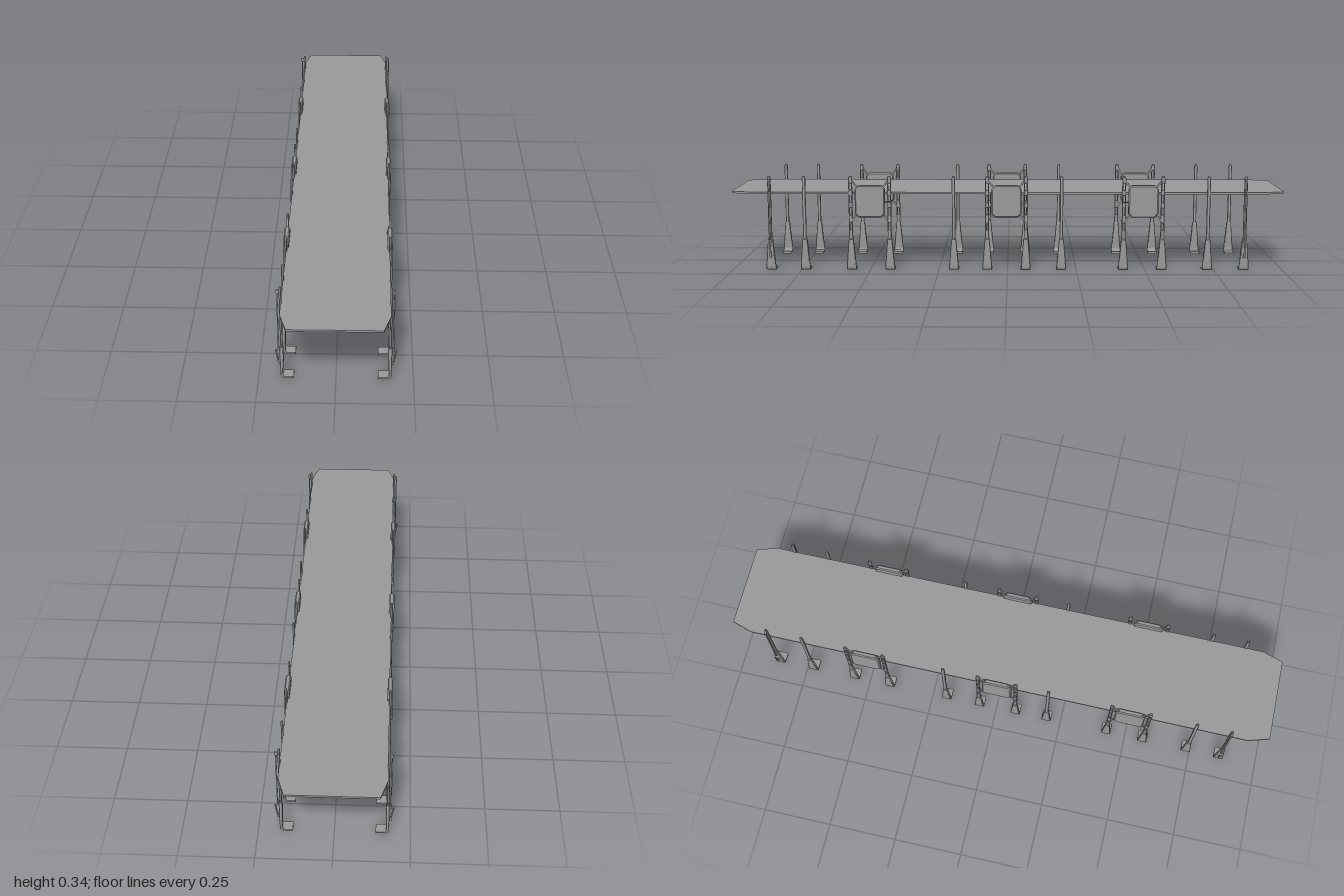
import * as THREE from 'three';

const mat = new THREE.MeshStandardMaterial({ color: 0x9a9a9a, flatShading: true });
const POST_X = 0.174;

function mesh(geo, name, parent) {
  const m = new THREE.Mesh(geo, mat);
  m.name = name;
  parent.add(m);
  return m;
}

function polygon(pts) {
  return new THREE.Shape(pts.map(([a, b]) => new THREE.Vector2(a, b)));
}

// Extrude a (z, y) outline into a plate with chamfered edges, centred on POST_X
function sidePlate(shape, thickness, bevel) {
  const depth = thickness - 2 * bevel;
  const geo = new THREE.ExtrudeGeometry(shape, {
    depth, bevelThickness: bevel, bevelSize: bevel, bevelOffset: -bevel, bevelSegments: 1,
  });
  geo.translate(0, 0, -depth / 2);
  geo.rotateY(-Math.PI / 2);
  geo.translate(POST_X, 0, 0);
  return geo;
}

// Rectangular bar between two points
function bar(a, b, w, d, name, parent) {
  const from = new THREE.Vector3(...a), to = new THREE.Vector3(...b);
  const m = mesh(new THREE.BoxGeometry(w, from.distanceTo(to), d), name, parent);
  m.position.copy(from).add(to).multiplyScalar(0.5);
  m.quaternion.setFromUnitVectors(new THREE.Vector3(0, 1, 0), to.sub(from).normalize());
}

// Tapered lower leg with a rounded bend into the inward foot
function legGeometry() {
  const s = new THREE.Shape();
  s.moveTo(0.136, 0);
  s.lineTo(0.166, 0);
  s.quadraticCurveTo(0.178, 0, 0.1785, 0.014);
  s.lineTo(0.18, 0.06);
  s.lineTo(0.18, 0.114);
  s.lineTo(0.177, 0.118);
  s.lineTo(0.171, 0.118);
  s.lineTo(0.1685, 0.114);
  s.lineTo(0.1685, 0.06);
  s.lineTo(0.1705, 0.018);
  s.quadraticCurveTo(0.17, 0.0085, 0.164, 0.0085);
  s.lineTo(0.136, 0.0085);
  const geo = new THREE.ExtrudeGeometry(s, {
    depth: 0.88, curveSegments: 5,
    bevelThickness: 0.06, bevelSize: 0.0015, bevelOffset: -0.0015, bevelSegments: 1,
  });
  geo.translate(0, 0, -0.44);
  const p = geo.attributes.position;
  for (let i = 0; i < p.count; i++) {
    const t = THREE.MathUtils.clamp((p.getY(i) - 0.01) / 0.105, 0, 1);
    p.setZ(i, p.getZ(i) * THREE.MathUtils.lerp(0.036, 0.017, t));
  }
  geo.computeVertexNormals();
  return geo;
}

// Upright with a chamfered tip, optionally pierced by slots
function uprightGeometry(slotted) {
  const h = slotted ? 0.007 : 0.006;
  const s = polygon([[-h, 0.112], [h, 0.112], [h, 0.338], [h - 0.003, 0.345], [-h + 0.003, 0.345], [-h, 0.338]]);
  if (slotted) {
    for (const y of [0.15, 0.205, 0.25, 0.295]) {
      s.holes.push(polygon([[-0.003, y], [-0.003, y + 0.024], [0.003, y + 0.024], [0.003, y]]));
    }
  }
  return sidePlate(s, 0.0075, 0.0015);
}

function makePost(z, slotted) {
  const post = new THREE.Group();
  post.name = 'post';
  mesh(legGeometry(), 'legAndFoot', post);
  mesh(uprightGeometry(slotted), 'upright', post);
  post.position.z = z;
  return post;
}

// Panel with cut corners, held between two posts by four struts
function makePanel(z) {
  const panel = new THREE.Group();
  panel.name = 'sidePanel';
  const outline = (w, b, t, c) => polygon([
    [-w + c, b], [w - c, b], [w, b + c], [w, t - c], [w - c, t], [-w + c, t], [-w, t - c], [-w, b + c]]);
  mesh(sidePlate(outline(0.054, 0.195, 0.312, 0.013), 0.018, 0.004), 'panelBody', panel);
  for (const s of [-1, 1]) {
    bar([POST_X, 0.303, s * 0.046], [POST_X, 0.332, s * 0.069], 0.006, 0.006, 'upperStrut', panel);
    bar([POST_X, 0.204, s * 0.046], [POST_X, 0.18, s * 0.069], 0.006, 0.006, 'lowerStrut', panel);
  }
  panel.position.z = z;
  return panel;
}

// Vertical grab rod with brackets and a tilted lever below it
function makeLatch(z) {
  const latch = new THREE.Group();
  latch.name = 'latch';
  bar([0.184, 0.106, 0], [0.184, 0.33, 0], 0.004, 0.005, 'rod', latch);
  for (const [y, h] of [[0.329, 0.011], [0.106, 0.01]]) {
    mesh(new THREE.BoxGeometry(0.012, h, 0.007), 'rodBracket', latch).position.set(0.181, y, 0);
  }
  mesh(new THREE.BoxGeometry(0.009, 0.01, 0.008), 'leverBracket', latch).position.set(0.182, 0.053, 0);
  bar([0.184, 0.051, 0], [0.193, 0.101, 0], 0.004, 0.006, 'lever', latch);
  latch.position.z = z;
  return latch;
}

function makeSide() {
  const side = new THREE.Group();
  side.name = 'leftSide';
  for (const z of [0.86, 0.735, 0.195, -0.195, -0.725, -0.858]) side.add(makePost(z, false));
  for (const z of [0.497, 0.004, -0.49]) {
    side.add(makePost(z + 0.07, true), makePost(z - 0.07, true), makePanel(z));
  }
  for (const z of [0.86, -0.858]) side.add(makeLatch(z));
  return side;
}

// Mirror a geometry in x and restore its face winding
function mirrorX(geo) {
  const g = geo.index ? geo.toNonIndexed() : geo.clone();
  g.scale(-1, 1, 1);
  const p = g.attributes.position;
  const a = new THREE.Vector3(), b = new THREE.Vector3();
  for (let i = 0; i < p.count; i += 3) {
    a.fromBufferAttribute(p, i + 1);
    b.fromBufferAttribute(p, i + 2);
    p.setXYZ(i + 1, b.x, b.y, b.z);
    p.setXYZ(i + 2, a.x, a.y, a.z);
  }
  g.computeVertexNormals();
  return g;
}

export function createModel() {
  const model = new THREE.Group();
  model.name = 'stakedPlatform';

  // Thin deck with tapered ends
  const deckShape = polygon([[-0.15, -1], [0.15, -1], [0.173, -0.925], [0.173, 0.925],
    [0.15, 1], [-0.15, 1], [-0.173, 0.925], [-0.173, -0.925]]);
  const deck = new THREE.ExtrudeGeometry(deckShape, { depth: 0.007, bevelEnabled: false });
  deck.rotateX(-Math.PI / 2);
  deck.translate(0, 0.279, 0);
  mesh(deck, 'deck', model);

  // Left side, then its mirror image on the right
  const left = makeSide();
  left.updateMatrixWorld(true);
  const right = new THREE.Group();
  right.name = 'rightSide';
  left.traverse((o) => {
    if (o.isMesh) mesh(mirrorX(o.geometry.clone().applyMatrix4(o.matrixWorld)), o.name, right);
  });
  model.add(left, right);
  return model;
}
